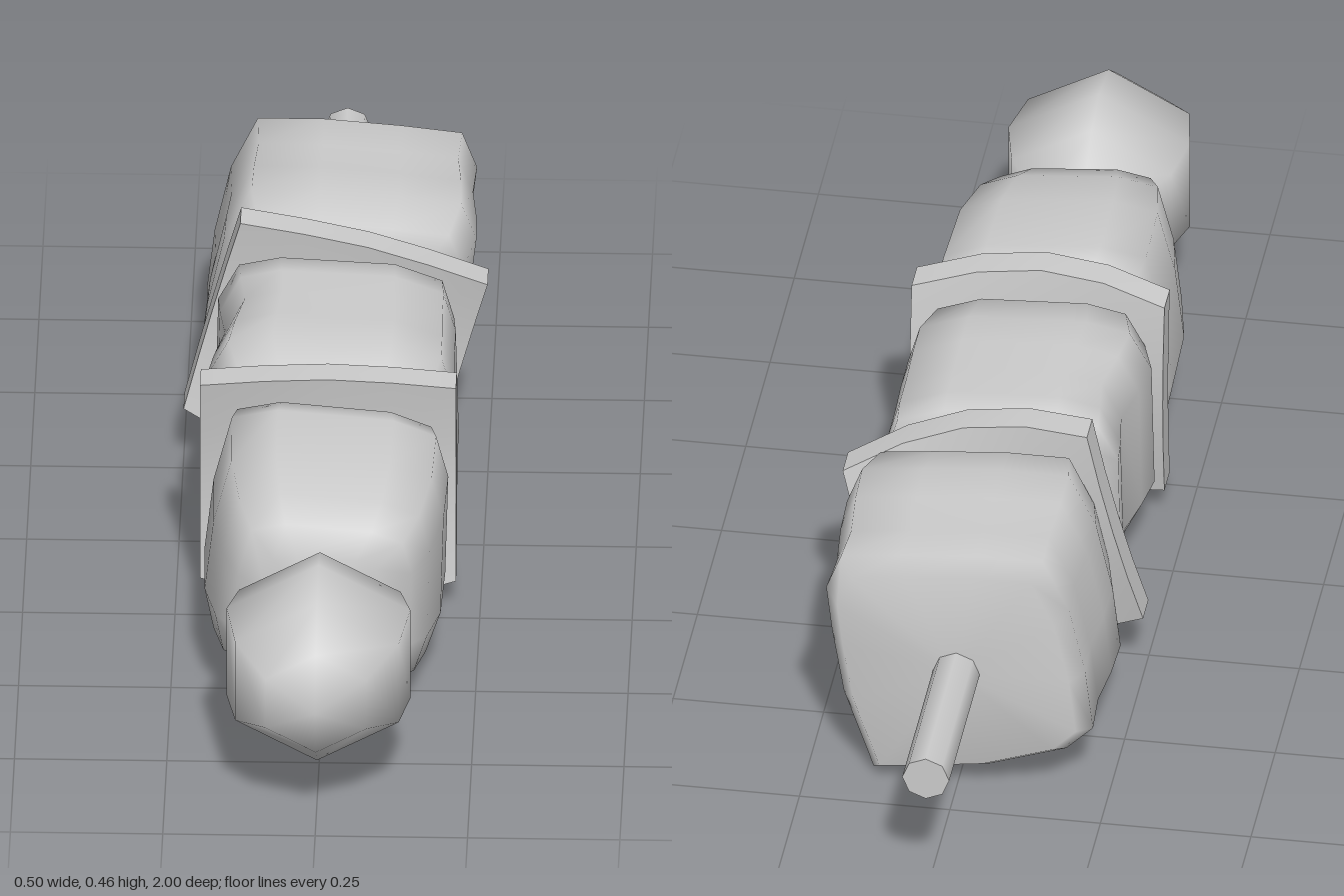
import * as THREE from 'three';

const AXIS_Y = 0.23;
const material = new THREE.MeshStandardMaterial({ color: 0xcccccc });

function add(group, name, geometry) {
  const mesh = new THREE.Mesh(geometry, material);
  mesh.name = name;
  group.add(mesh);
  return mesh;
}

// Closed smooth lump: a cross-section (counter-clockwise from the front)
// scaled along z from front to back. Rings are [z, scale, dent on the -x side].
function lump(section, frontZ, rings, backZ) {
  const n = section.length, pos = [], index = [];
  for (const [z, s, dent = 0] of rings) {
    for (const [x, y] of section) {
      const shift = x < 0 ? dent * Math.min(1, -x / 0.18) : 0;
      pos.push(x * s + shift, AXIS_Y + (y - AXIS_Y) * s, z);
    }
  }
  const front = pos.length / 3, back = front + 1;
  pos.push(0, AXIS_Y, frontZ, 0, AXIS_Y, backZ);
  const last = (rings.length - 1) * n;
  for (let j = 0; j < n; j++) {
    const k = (j + 1) % n;
    index.push(front, j, k, back, last + k, last + j);
    for (let a = 0; a < last; a += n) {
      index.push(a + j, a + n + j, a + k, a + k, a + n + j, a + n + k);
    }
  }
  const g = new THREE.BufferGeometry();
  g.setAttribute('position', new THREE.Float32BufferAttribute(pos, 3));
  g.setIndex(index);
  g.computeVertexNormals();
  return g;
}

// Saddle-shaped plate: bowed outline, sides bent back, top and bottom bent forward
function slice() {
  const g = new THREE.BoxGeometry(0.42, 0.36, 0.055, 4, 4, 1);
  const p = g.attributes.position;
  for (let i = 0; i < p.count; i++) {
    const t = Math.abs(p.getX(i)) / 0.21;
    const v = Math.abs(p.getY(i)) / 0.18;
    const bow = t > 0.9 ? 0 : t > 0.4 ? 0.022 : 0.031;
    p.setY(i, p.getY(i) * (1 + bow / 0.18));
    p.setZ(i, p.getZ(i) - 0.032 * t * t + 0.018 * (v * v - 1));
  }
  g.computeVertexNormals();
  return g;
}

export function createModel() {
  const group = new THREE.Group();
  group.name = 'skewer';

  // Six-sided rounded tip piece
  const hexagon = [];
  for (let i = 0; i < 6; i++) {
    const a = Math.PI / 6 + (i * Math.PI) / 3;
    hexagon.push([Math.cos(a) * 0.174, AXIS_Y + Math.sin(a) * 0.164]);
  }
  add(group, 'tomato', lump(hexagon, 1,
    [[0.965, 0.55], [0.89, 0.89], [0.79, 1], [0.71, 0.88], [0.645, 0.5]], 0.625));

  // Front chunk, tapering towards the tip
  add(group, 'frontChunk', lump(
    [[0.2, 0.3], [0.18, 0.375], [0.11, 0.403], [-0.08, 0.42], [-0.155, 0.405], [-0.185, 0.29],
      [-0.2, 0.16], [-0.185, 0.085], [-0.1, 0.055], [0.08, 0.035], [0.17, 0.045], [0.195, 0.12]],
    0.64,
    [[0.635, 0.5], [0.61, 0.74], [0.55, 0.88], [0.45, 0.98], [0.31, 1], [0.265, 0.95], [0.253, 0.82]],
    0.24));

  // Middle chunk with a shallow dent in its right side
  add(group, 'middleChunk', lump(
    [[0.2, 0.32], [0.18, 0.39], [0.1, 0.42], [-0.09, 0.43], [-0.16, 0.415], [-0.195, 0.35],
      [-0.2, 0.13], [-0.17, 0.07], [-0.1, 0.055], [0.09, 0.05], [0.17, 0.065], [0.205, 0.13]],
    0.19,
    [[0.185, 0.72], [0.15, 0.92], [0.07, 1.01, -0.006], [0, 1.01, 0.004], [-0.08, 1, 0.018],
      [-0.15, 1, 0.008], [-0.2, 0.98], [-0.225, 0.82]],
    -0.23));

  // Rear chunk, the largest, skewed and slightly waisted
  add(group, 'rearChunk', lump(
    [[0.215, 0.27], [0.225, 0.355], [0.2, 0.42], [0.1, 0.432], [-0.03, 0.443], [-0.14, 0.443], [-0.185, 0.35],
      [-0.212, 0.23], [-0.225, 0.12], [-0.18, 0.075], [-0.05, 0.03], [0.08, 0.012], [0.145, 0.005], [0.195, 0.15]],
    -0.275,
    [[-0.298, 0.8], [-0.32, 0.92], [-0.4, 1.01], [-0.48, 1], [-0.57, 0.965], [-0.65, 0.985], [-0.683, 0.88]],
    -0.685));

  // Bent slices between the chunks, the rear one rolled
  for (const [name, z, roll] of [['frontSlice', 0.219, 0], ['rearSlice', -0.247, -0.262]]) {
    const mesh = add(group, name, slice());
    mesh.position.set(0, AXIS_Y + 0.002, z);
    mesh.rotation.z = roll;
  }

  // Stick through everything, showing at the back
  const stick = new THREE.CylinderGeometry(0.039, 0.039, 1.75, 8).rotateX(Math.PI / 2);
  add(group, 'stick', stick).position.set(0, AXIS_Y, -0.125);

  return group;
}
